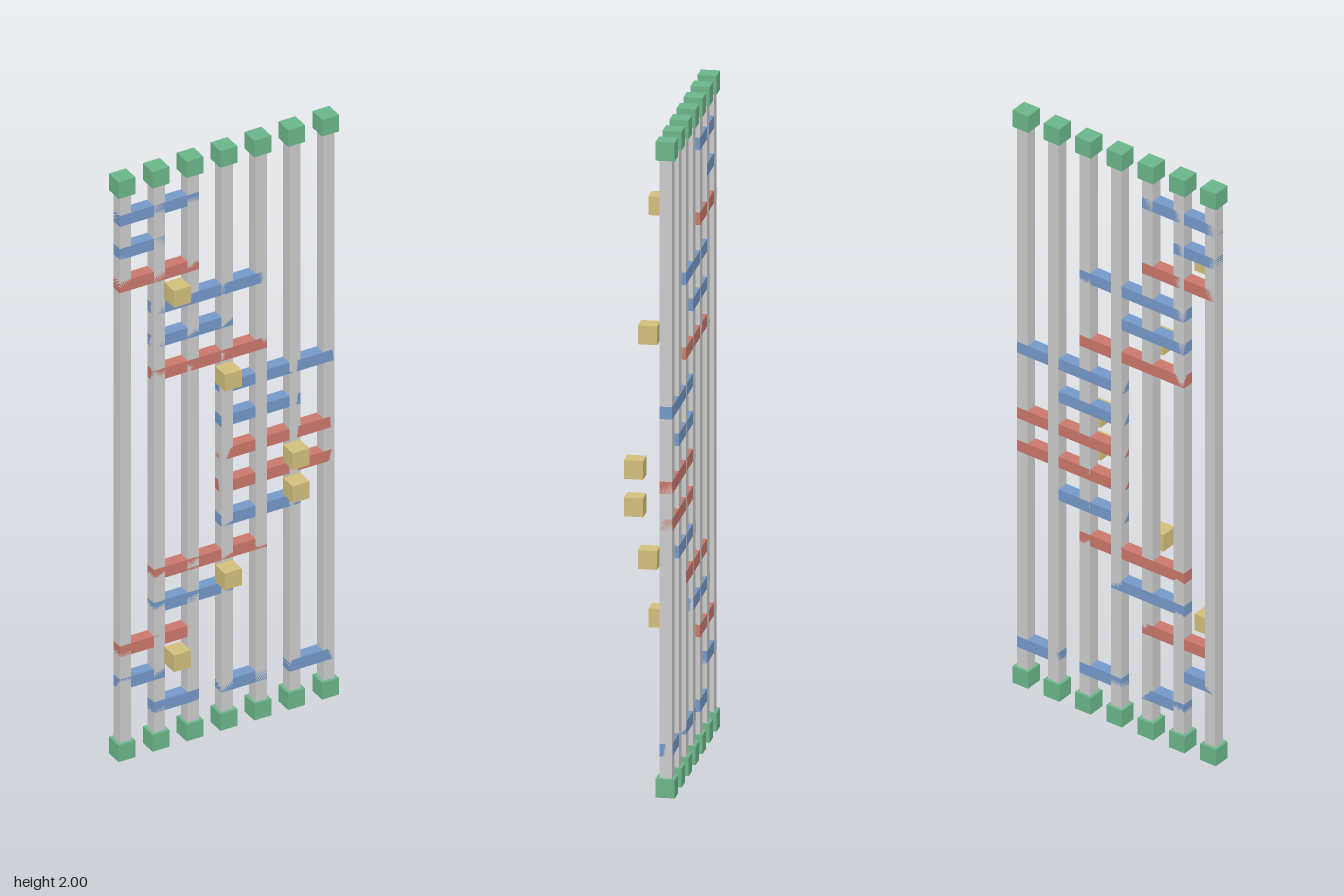
import * as THREE from 'three';

const U = 2 / 105;        // modelling unit: the frame is 105 units tall
const PITCH = 6;          // spacing of posts and of rung levels
const PLANE_Z = -3.28;    // plane of the posts
const BEAD_Z = 3.28;      // plane of the floating cubes

const mat = (color) => new THREE.MeshStandardMaterial({ color });
const grey = mat(0xcccccc);
const green = mat(0x6bb589);
const blue = mat(0x7498c8);
const red = mat(0xca776b);
const tan = mat(0xd1be7b);

// Rungs as [level, first post, last post]; marked ones are red and carry a cube
const PLAIN = [
  [16, 0, 2], [15, 0, 1], [13, 1, 4], [12, 1, 3], [10, 3, 6], [9, 3, 5],
  [6, 3, 5], [4, 1, 3], [2, 0, 1], [1, 1, 2], [1, 3, 4], [1, 5, 6],
];
const MARKED = [[14, 0, 2], [11, 1, 4], [8, 3, 6], [7, 3, 6], [5, 1, 4], [3, 0, 2]];

const postX = (i) => (i - 3) * PITCH;
const levelY = (k) => 1.5 + k * PITCH;

export function createModel() {
  const model = new THREE.Group();

  function box(name, material, w, h, d, x, y, z) {
    const mesh = new THREE.Mesh(new THREE.BoxGeometry(w * U, h * U, d * U), material);
    mesh.name = name;
    mesh.position.set(x * U, y * U, z * U);
    model.add(mesh);
  }

  // Horizontal rungs, running flush to the outer faces of their end posts
  function rung(name, material, [level, a, b]) {
    const width = (b - a) * PITCH + 2;
    box(name, material, width, 2, 2, (postX(a) + postX(b)) / 2, levelY(level), PLANE_Z);
  }
  PLAIN.forEach((r) => rung('rung', blue, r));
  MARKED.forEach((r) => {
    rung('markedRung', red, r);
    // Cube floating in front of the middle of the rung
    box('markerCube', tan, 3, 3, 3, (postX(r[1]) + postX(r[2])) / 2, levelY(r[0]), BEAD_Z);
  });

  // Upright posts with a cube cap at each end
  for (let i = 0; i < 7; i++) {
    box('post', grey, 2, 102, 2, postX(i), 52.5, PLANE_Z);
    box('bottomCap', green, 3, 3, 3, postX(i), 1.5, PLANE_Z);
    box('topCap', green, 3, 3, 3, postX(i), 103.5, PLANE_Z);
  }

  return model;
}
